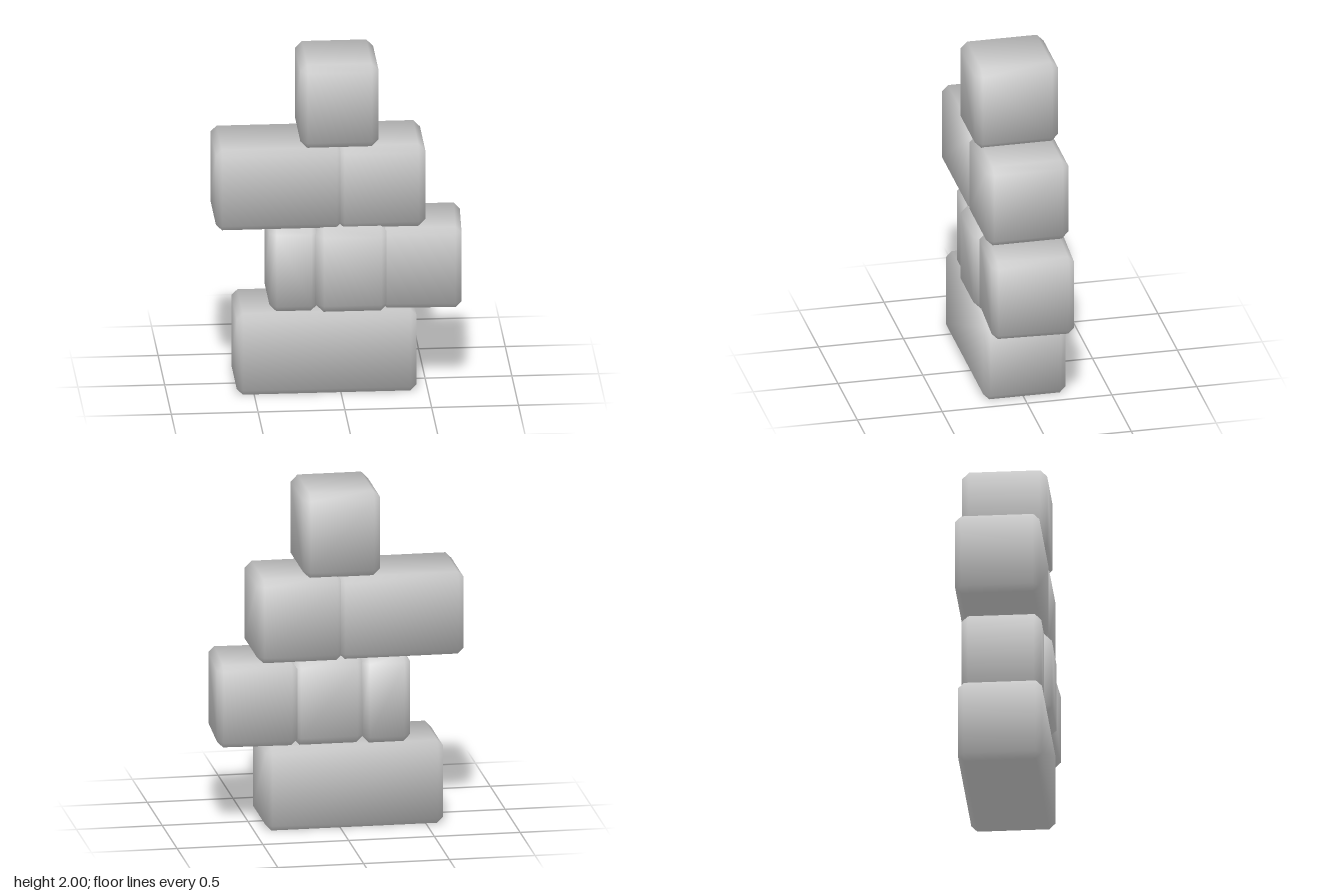
import * as THREE from 'three';
import { ConvexGeometry } from 'three/addons/geometries/ConvexGeometry.js';
import { mergeVertices } from 'three/addons/utils/BufferGeometryUtils.js';

const material = new THREE.MeshStandardMaterial({ color: 0xcccccc });

// A block with cut edges and soft, pillow-like shading.
function stoneGeometry(w, h, d, cut) {
  const half = [w / 2, h / 2, d / 2];
  const points = [];
  for (const sx of [-1, 1]) for (const sy of [-1, 1]) for (const sz of [-1, 1]) {
    for (let axis = 0; axis < 3; axis++) {
      const p = [sx, sy, sz].map((s, i) => s * (half[i] - (i === axis ? 0 : cut)));
      points.push(new THREE.Vector3(...p));
    }
  }
  let geometry = new ConvexGeometry(points);
  geometry.deleteAttribute('normal');
  geometry = mergeVertices(geometry, 1e-5);
  geometry.computeVertexNormals();
  const pos = geometry.attributes.position;
  const n = new THREE.Vector3();
  for (let i = 0; i < pos.count; i++) {
    n.set(pos.getX(i) / half[0], pos.getY(i) / half[1], pos.getZ(i) / half[2]);
    n.set(n.x ** 3, n.y ** 3, n.z ** 3).normalize();
    geometry.attributes.normal.setXYZ(i, n.x, n.y, n.z);
  }
  return geometry;
}

// Stones by extent: name, x range, y range, z range, cut, turn about y.
const stones = [
  ['baseStone', [-0.6, 0.435], [0, 0.495], [-0.25, 0.235], 0.035, 0],
  ['lowerRightStone', [-0.41, -0.13], [0.495, 1.01], [-0.245, 0.215], 0.04, 0],
  ['lowerMiddleStone', [-0.15, 0.28], [0.495, 1.01], [-0.235, 0.255], 0.05, 0],
  ['lowerLeftStone', [0.24, 0.705], [0.505, 0.995], [-0.245, 0.235], 0.035, -0.05],
  ['upperRightStone', [-0.72, 0.01], [1.005, 1.495], [-0.255, 0.23], 0.035, 0],
  ['upperLeftStone', [-0.02, 0.487], [1.0, 1.5], [-0.255, 0.23], 0.04, 0],
  ['topStone', [-0.233, 0.217], [1.495, 2], [-0.255, 0.235], 0.04, 0],
];

export function createModel() {
  const model = new THREE.Group();
  model.name = 'stoneStack';
  for (const [name, x, y, z, cut, turn] of stones) {
    const mesh = new THREE.Mesh(stoneGeometry(x[1] - x[0], y[1] - y[0], z[1] - z[0], cut), material);
    mesh.name = name;
    mesh.position.set((x[0] + x[1]) / 2, (y[0] + y[1]) / 2, (z[0] + z[1]) / 2);
    mesh.rotation.y = turn;
    model.add(mesh);
  }
  return model;
}
